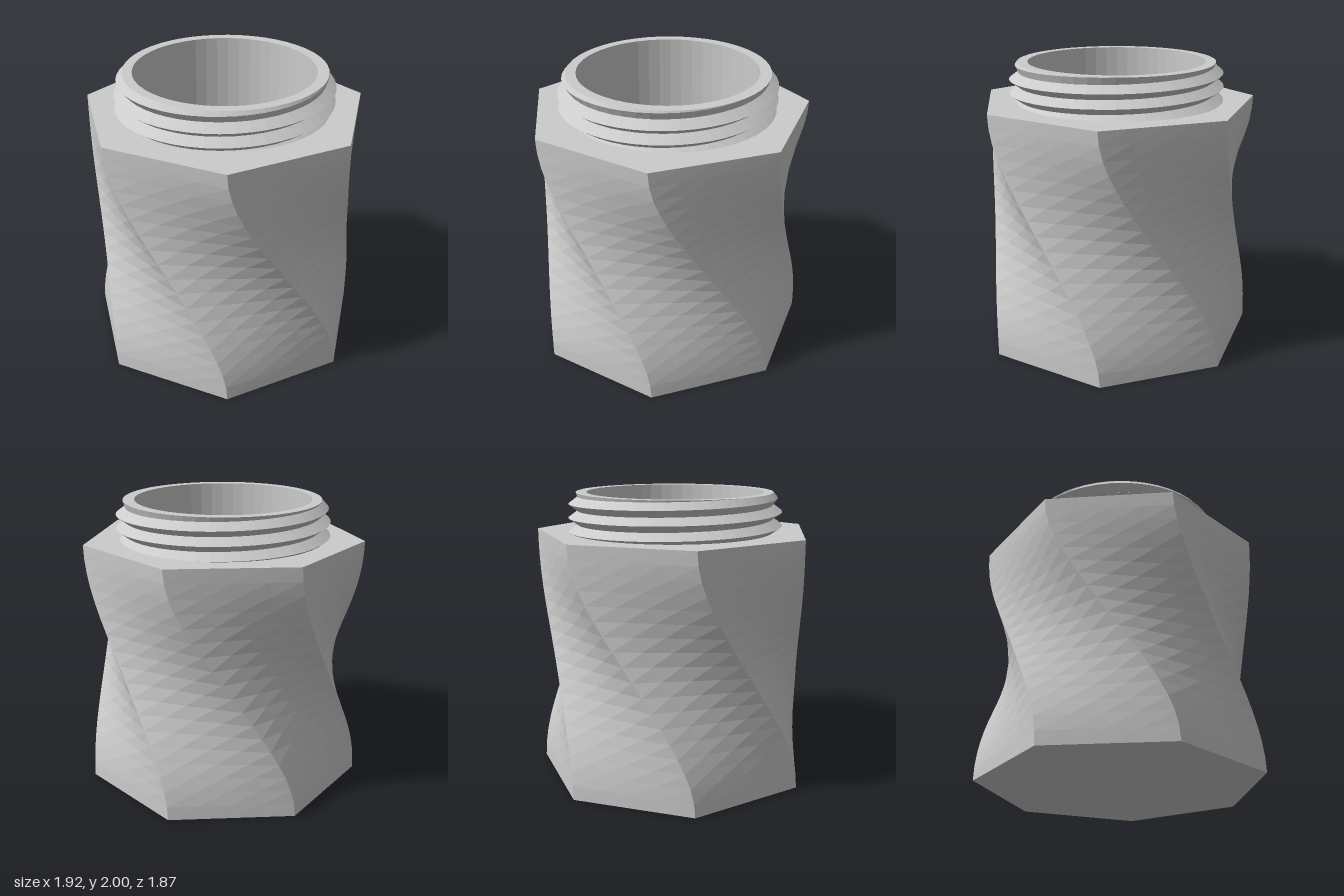
import * as THREE from 'three';

const TAU = Math.PI * 2;
const SIDES = 7, SPLIT = 4;            // heptagon body, columns per side
const R = 0.984, SHOULDER = 1.73, TOP = 2, BORE = 0.615, FLOOR = 0.15;
const PITCH = 0.095, ROOT = 0.68;

const material = new THREE.MeshStandardMaterial({ color: 0xcccccc, flatShading: true });

// Skin a grid of points: columns run around the axis, rows along the profile.
function skin(name, cols, rows, point) {
  const positions = [], index = [];
  for (let j = 0; j <= rows; j++)
    for (let i = 0; i <= cols; i++) positions.push(...point(i, j));
  for (let j = 0; j < rows; j++)
    for (let i = 0; i < cols; i++) {
      const a = j * (cols + 1) + i, c = a + cols + 1;
      index.push(a, a + 1, c + 1, a, c + 1, c);
    }
  const geometry = new THREE.BufferGeometry();
  geometry.setAttribute('position', new THREE.Float32BufferAttribute(positions, 3));
  geometry.setIndex(index);
  geometry.computeVertexNormals();
  const mesh = new THREE.Mesh(geometry, material);
  mesh.name = name;
  return mesh;
}

const polar = (r, angle, y) => [r * Math.sin(angle), y, r * Math.cos(angle)];

// Point on the twisted, waisted heptagon at column i and height y
function bodyPoint(i, y) {
  const t = 1 - y / SHOULDER;
  const twist = t * t * (3 - 2 * t);   // eases in and out over one side
  const radius = R - 0.1 * Math.sin(Math.PI * t) ** 2;
  const side = Math.floor(i / SPLIT), f = (i % SPLIT) / SPLIT;
  const corner = (k) => polar(radius, (k - 0.5 + twist) * TAU / SIDES, y);
  const a = corner(side), b = corner(side + 1);
  return a.map((v, n) => v + (b[n] - v) * f);
}

// Radius of the screw thread, fading out towards the rim
function threadRadius(angle, y) {
  const phase = (y - 1.87) / PITCH - angle / TAU;
  const valley = Math.abs(2 * (phase - Math.round(phase)));
  const crest = 0.745 - 0.05 * THREE.MathUtils.smoothstep(y, 1.91, TOP);
  return crest + (ROOT - crest) * valley;
}

export function createModel() {
  const model = new THREE.Group();
  model.name = 'twistedJar';
  const bodyCols = SIDES * SPLIT, neckCols = 48;
  const angleAt = (i) => (i / neckCols) * TAU;

  // Twisted body walls
  model.add(skin('twistedBody', bodyCols, 18, (i, j) => bodyPoint(i, (j / 18) * SHOULDER)));

  // Flat base
  model.add(skin('base', bodyCols, 1, (i, j) => {
    const [x, , z] = bodyPoint(i, 0);
    return [x * j, 0, z * j];
  }));

  // Flat shoulder around the neck
  model.add(skin('shoulder', bodyCols, 1, (i, j) => {
    const p = bodyPoint(i, SHOULDER);
    return j ? polar(0.67, Math.atan2(p[0], p[2]), SHOULDER) : p;
  }));

  // Threaded neck: rows follow the crests and valleys of the helix
  model.add(skin('threadedNeck', neckCols, 8, (i, j) => {
    const angle = angleAt(i);
    const helix = 1.87 + PITCH * (angle / TAU + (j - 5) / 2);
    const y = THREE.MathUtils.clamp(helix, SHOULDER, TOP);
    return polar(threadRadius(angle, y), angle, y);
  }));

  // Rim
  model.add(skin('rim', neckCols, 1, (i, j) =>
    polar(j ? BORE : threadRadius(angleAt(i), TOP), angleAt(i), TOP)));

  // Bore wall and floor
  const bore = [[BORE, TOP], [BORE, FLOOR], [0, FLOOR]];
  model.add(skin('bore', neckCols, 2, (i, j) => polar(bore[j][0], angleAt(i), bore[j][1])));

  model.position.z = 0.044;            // centre the heptagon's bounds
  return model;
}
